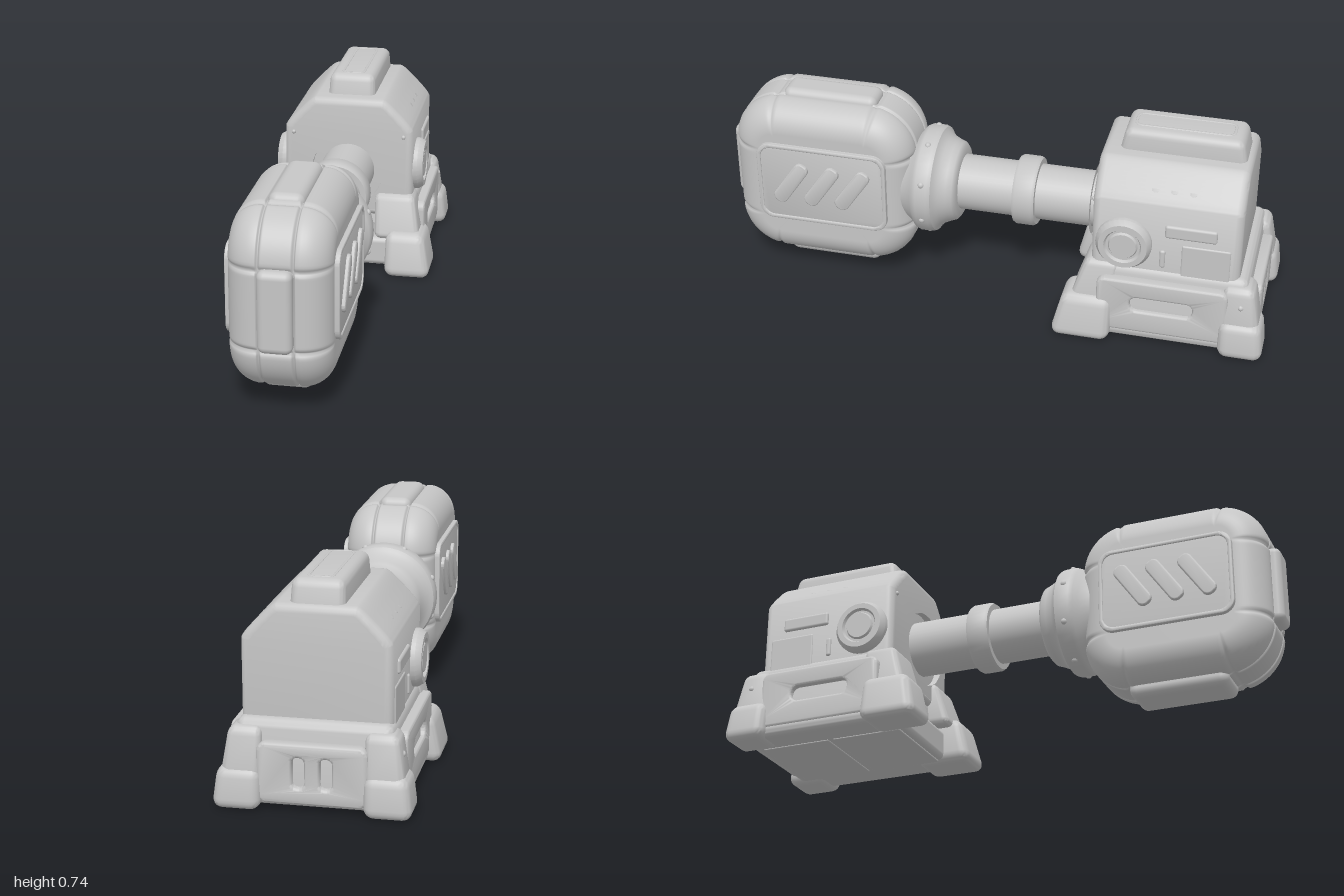
import * as THREE from 'three';
import { mergeVertices, toCreasedNormals } from 'three/addons/utils/BufferGeometryUtils.js';
import { RoundedBoxGeometry } from 'three/addons/geometries/RoundedBoxGeometry.js';

const AXIS_Y = 0.385; // height of the shaft axis

export function createModel() {
  const model = new THREE.Group();
  model.name = 'pistonHammer';
  const grey = new THREE.MeshStandardMaterial({ color: 0xc6c6c6 });
  grey.name = 'plain grey';

  const add = (name, geo, x = 0, y = 0, z = 0) => {
    const mesh = new THREE.Mesh(geo, grey);
    mesh.name = name;
    mesh.position.set(x, y, z);
    model.add(mesh);
    return mesh;
  };

  // Rounded block given by its limits; the top can shrink by tx, tz and lean by sx, sz
  const block = (name, [x0, x1], [y0, y1], [z0, z1], r, { tx = 0, tz = 0, sx = 0, sz = 0 } = {}) => {
    const w = x1 - x0, h = y1 - y0, d = z1 - z0;
    let geo = new RoundedBoxGeometry(w, h, d, 3, Math.min(r, w * 0.49, h * 0.49, d * 0.49));
    if (tx || tz || sx || sz) {
      const p = geo.attributes.position;
      for (let i = 0; i < p.count; i++) {
        const t = p.getY(i) / h + 0.5;
        p.setX(i, p.getX(i) * (1 - t * tx) + sx * t);
        p.setZ(i, p.getZ(i) * (1 - t * tz) + sz * t);
      }
      geo.deleteAttribute('normal');
      geo.deleteAttribute('uv');
      geo = mergeVertices(geo);
      geo.computeVertexNormals();
      geo = toCreasedNormals(geo, 0.7);
    }
    return add(name, geo, (x0 + x1) / 2, (y0 + y1) / 2, (z0 + z1) / 2);
  };

  // Rounded rectangle outline; also used for slots
  const roundRect = (cx, cy, w, h, r, Kind = THREE.Shape) => {
    const s = new Kind(), a = w / 2 - r, b = h / 2 - r;
    s.absarc(cx + a, cy + b, r, 0, Math.PI / 2);
    s.absarc(cx - a, cy + b, r, Math.PI / 2, Math.PI);
    s.absarc(cx - a, cy - b, r, Math.PI, Math.PI * 1.5);
    s.absarc(cx + a, cy - b, r, Math.PI * 1.5, Math.PI * 2);
    s.closePath();
    return s;
  };

  // Extrusion with soft edges, centred on its depth
  const slab = (shape, depth, bevel) => {
    const geo = new THREE.ExtrudeGeometry(shape, {
      depth: depth - 2 * bevel, bevelThickness: bevel, bevelSize: bevel, bevelOffset: -bevel,
      bevelSegments: 4, curveSegments: 8,
    });
    geo.translate(0, 0, bevel - depth / 2);
    return toCreasedNormals(geo, 0.6);
  };
  // Same, facing sideways: shape x becomes z
  const sideSlab = (shape, depth, bevel) => slab(shape, depth, bevel).rotateY(-Math.PI / 2);

  // Turned part along the shaft axis; points are [radius, z]
  const turned = (name, pts) => {
    const geo = new THREE.LatheGeometry(pts.map(p => new THREE.Vector2(...p)), 40).rotateX(Math.PI / 2);
    return add(name, toCreasedNormals(geo, 0.6), 0, AXIS_Y, 0);
  };

  // Padded hammer head: rounded loops along x, pressed in along the seams
  const headGeometry = () => {
    const cz = 0.635, cy = 0.38, a = 0.335, b = 0.312, r = 0.175, half = 0.17, round = 0.105;
    const ring = [];
    for (let k = 0; k < 4; k++) {
      const corner = q => [[1, 1], [-1, 1], [-1, -1], [1, -1]][q % 4].map((s, i) => s * ((i ? b : a) - r));
      const [c, n] = [corner(k), corner(k + 1)];
      for (let i = 0; i < 30; i++) ring.push([...c, (k + i / 30) * Math.PI / 2]);
      for (let i = 0; i < 44; i++) {
        const t = i / 44;
        ring.push([c[0] + (n[0] - c[0]) * t, c[1] + (n[1] - c[1]) * t, (k + 1) * Math.PI / 2]);
      }
    }
    const xs = [];
    for (let i = 12; i > 0; i--) xs.push(-(half - round) - round * Math.sin(i / 12 * Math.PI / 2));
    for (let i = -26; i <= 26; i++) xs.push((half - round) * i / 26);
    for (let i = 1; i <= 12; i++) xs.push(half - round + round * Math.sin(i / 12 * Math.PI / 2));
    const dip = (v, w) => Math.exp(-((v / w) ** 2));
    const pos = [], index = [], n = ring.length;
    for (const x of xs) {
      const q = Math.max(0, Math.abs(x) - (half - round)) / round;
      const inset = round * (1 - Math.sqrt(Math.max(0, 1 - q * q)));
      for (const [u, v, ang] of ring) {
        const co = Math.cos(ang), si = Math.sin(ang);
        const seam = Math.abs(co) > 0.7 ? dip(Math.abs(v + r * si) - 0.137, 0.008) : dip(Math.abs(u + r * co) - 0.185, 0.008);
        const off = r - inset - 0.011 * Math.max(seam, dip(Math.abs(x) - 0.057, 0.005));
        pos.push(x, cy + v + off * si, cz + u + off * co);
      }
    }
    const last = (xs.length - 1) * n, c0 = xs.length * n;
    pos.push(-half, cy, cz, half, cy, cz);
    for (let j = 0; j < n; j++) {
      const k = (j + 1) % n;
      for (let i = 0; i < last; i += n) index.push(i + j, i + n + j, i + k, i + n + j, i + n + k, i + k);
      index.push(c0, j, k, c0 + 1, last + k, last + j);
    }
    const geo = new THREE.BufferGeometry();
    geo.setAttribute('position', new THREE.Float32BufferAttribute(pos, 3));
    geo.setIndex(index);
    geo.computeVertexNormals();
    return geo;
  };
  add('hammerHead', headGeometry());
  block('headFrontPad', [-0.057, 0.057], [0.245, 0.525], [0.9, 1], 0.025);
  block('headTopPad', [-0.06, 0.06], [0.63, 0.71], [0.45, 0.8], 0.03);
  block('headBottomPad', [-0.085, 0.085], [0.033, 0.13], [0.45, 0.8], 0.03);

  // Shaft, rings and collar
  turned('shaft', [[0, -0.66], [0.1, -0.66], [0.1, 0.2]]);
  turned('shaftRing', [[0.1, -0.14], [0.12, -0.14], [0.126, -0.13], [0.126, -0.07], [0.12, -0.06], [0.1, -0.06]]);
  turned('headCollar', [[0.1, 0.143], [0.13, 0.145], [0.143, 0.155], [0.15, 0.175], [0.162, 0.2], [0.178, 0.215],
    [0.19, 0.222], [0.195, 0.235], [0.195, 0.275], [0.188, 0.29], [0.17, 0.303], [0.15, 0.34]]);
  turned('socketSleeve', [[0.1, -0.342], [0.125, -0.342], [0.135, -0.352], [0.135, -0.41], [0.155, -0.42], [0.155, -0.52]]);
  for (let i = 0; i < 8; i++) {
    const t = (i + 0.5) * Math.PI / 4;
    add('collarRivet', new THREE.SphereGeometry(0.012, 10, 8), 0.19 * Math.cos(t), AXIS_Y + 0.19 * Math.sin(t), 0.255);
  }

  // Housing: arch with an open front and back around an inner wall
  const arch = (Kind, w, y0, y1, top, y2) => {
    const s = new Kind();
    s.moveTo(-w, y0);
    s.lineTo(w, y0);
    s.lineTo(w, y1);
    s.quadraticCurveTo(w * 0.97, y1 + 0.02, (w + top) / 2, (y1 + y2) / 2 + 0.012);
    s.quadraticCurveTo(top + 0.015, y2, top, y2);
    s.lineTo(-top, y2);
    s.quadraticCurveTo(-top - 0.015, y2, -(w + top) / 2, (y1 + y2) / 2 + 0.012);
    s.quadraticCurveTo(-w * 0.97, y1 + 0.02, -w, y1);
    s.closePath();
    return s;
  };
  const shell = arch(THREE.Shape, 0.245, 0.2, 0.54, 0.125, 0.66);
  shell.holes.push(arch(THREE.Path, 0.155, 0.25, 0.5, 0.1, 0.57));
  add('housing', slab(shell, 0.52, 0.028), 0, 0, -0.635);
  block('housingInnerWall', [-0.18, 0.18], [0.24, 0.59], [-0.72, -0.47], 0.01);
  block('roofCap', [-0.092, 0.092], [0.6, 0.735], [-0.885, -0.425], 0.028, { tx: 0.08, tz: 0.12 });
  const slotRim = roundRect(0, 0, 0.09, 0.35, 0.025);
  slotRim.holes.push(roundRect(0, 0, 0.07, 0.33, 0.02, THREE.Path));
  add('roofCapRim', slab(slotRim, 0.01, 0.003).rotateX(-Math.PI / 2), 0, 0.732, -0.65);

  // Base
  block('baseCore', [-0.29, 0.29], [0.008, 0.29], [-0.955, -0.37], 0.03, { tx: 0.13, tz: 0.1 });
  block('baseFrontSill', [-0.18, 0.18], [0.01, 0.12], [-0.45, -0.345], 0.02);
  for (const z of [-0.5, -0.78]) block('bottomPanel', [-0.17, 0.17], [0.004, 0.012], [z - 0.13, z + 0.13], 0.003);
  const backShape = roundRect(0, 0.125, 0.36, 0.2, 0.03);
  for (const x of [-0.045, 0.045]) backShape.holes.push(roundRect(x, 0.13, 0.04, 0.1, 0.018, THREE.Path));
  add('baseBackPlate', slab(backShape, 0.05, 0.012), 0, 0, -0.945);

  // Parts on both sides
  for (const s of [1, -1]) {
    const span = (a, b) => (s > 0 ? [a, b] : [-b, -a]);

    // Head side panel with a rim and slanted bars
    add('headSidePanel', sideSlab(roundRect(0, 0, 0.48, 0.31, 0.05), 0.04, 0.008), s * 0.162, 0.395, 0.625);
    const rim = roundRect(0, 0, 0.48, 0.31, 0.05);
    rim.holes.push(roundRect(0, 0, 0.45, 0.28, 0.04, THREE.Path));
    add('headPanelRim', sideSlab(rim, 0.016, 0.004), s * 0.178, 0.395, 0.625);
    for (const z of [0.74, 0.625, 0.51]) {
      const bar = add('headPanelBar', sideSlab(roundRect(0, 0, 0.055, 0.19, 0.025), 0.02, 0.006), s * 0.184, 0.4, z);
      bar.rotation.x = -0.6;
    }

    // Hub on the housing wall
    const hub = new THREE.LatheGeometry([[0, 0], [0.098, 0], [0.098, 0.025], [0.085, 0.045], [0.066, 0.045], [0.06, 0.035],
      [0.052, 0.035], [0.047, 0.043], [0, 0.043]].map(p => new THREE.Vector2(...p)), 32);
    add('sideHub', toCreasedNormals(hub, 0.6), s * 0.235, AXIS_Y, -0.49).rotation.z = -s * Math.PI / 2;

    // Raised vents and wall details
    for (const z of [-0.585, -0.65, -0.715]) {
      const vent = add('roofVent', sideSlab(roundRect(0, 0, 0.032, 0.075, 0.014), 0.02, 0.004), s * 0.183, 0.599, z);
      vent.rotation.z = s * 0.8;
    }
    block('wallVent', span(0.235, 0.254), [0.425, 0.475], [-0.81, -0.63], 0.01);
    block('wallTab', span(0.235, 0.252), [0.3, 0.37], [-0.635, -0.615], 0.008);
    block('wallPanel', span(0.235, 0.249), [0.27, 0.4], [-0.86, -0.69], 0.007);

    // Base side plate with a slot
    const plate = roundRect(-0.635, 0.145, 0.46, 0.21, 0.03);
    plate.holes.push(roundRect(-0.635, 0.155, 0.22, 0.055, 0.025, THREE.Path));
    add('baseSidePlate', sideSlab(plate, 0.05, 0.01), s * 0.265, 0, 0);

    // Stepped feet
    block('frontFoot', span(0.155, 0.333), [0, 0.165], [-0.46, -0.245], 0.035, { tx: 0.2, tz: 0.2, sx: -s * 0.015, sz: -0.02 });
    block('frontFootStep', span(0.11, 0.285), [0.13, 0.295], [-0.46, -0.305], 0.025, { tx: 0.15, tz: 0.25, sx: -s * 0.018, sz: -0.035 });
    block('backFoot', span(0.165, 0.325), [0, 0.14], [-1, -0.84], 0.035, { tx: 0.12, tz: 0.1, sx: -s * 0.008, sz: 0.008 });
    block('backFootStep', span(0.165, 0.3), [0.1, 0.268], [-0.98, -0.84], 0.03, { tx: 0.2, tz: 0.25, sx: -s * 0.012, sz: 0.012 });
    add('footRivet', new THREE.SphereGeometry(0.011, 10, 8), s * 0.28, 0.2, -0.91);
    add('wallRivet', new THREE.SphereGeometry(0.008, 10, 8), s * 0.21, 0.522, -0.375);
  }
  return model;
}
